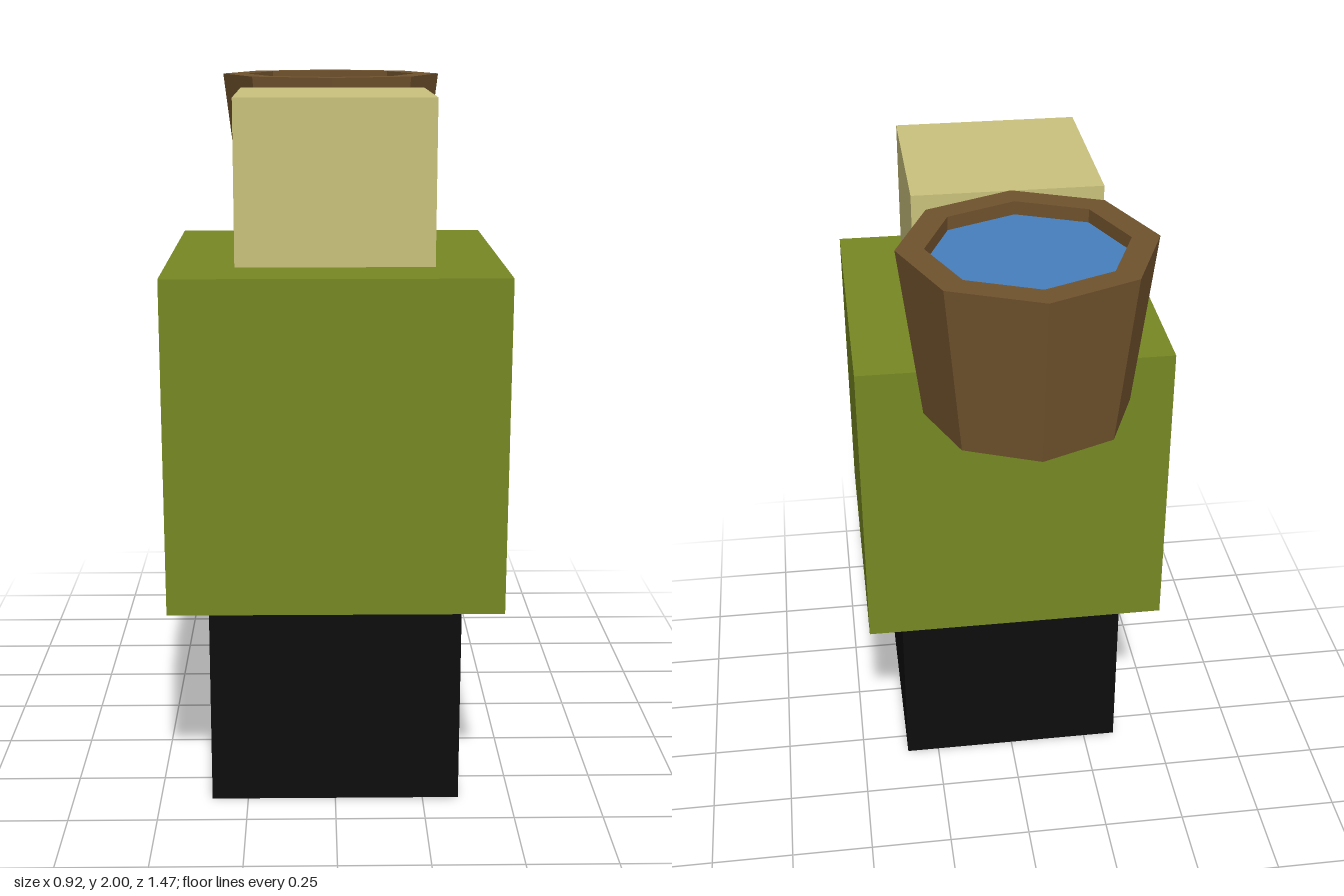
import * as THREE from 'three';

export function createModel() {
  const group = new THREE.Group();
  const material = (name, color) => {
    const m = new THREE.MeshStandardMaterial({ color, flatShading: true });
    m.name = name;
    return m;
  };
  const black = material('black', 0x0d0d0d);
  const olive = material('olive green', 0x768723);
  const tan = material('tan', 0xcac17c);
  const brown = material('brown wood', 0x70522d);
  const blue = material('water blue', 0x467fbd);

  const add = (name, geometry, mat, x, y, z) => {
    const mesh = new THREE.Mesh(geometry, mat);
    mesh.name = name;
    mesh.position.set(x, y, z);
    group.add(mesh);
    return mesh;
  };
  // Square block standing on height y0
  const block = (name, width, y0, y1, z, mat) =>
    add(name, new THREE.BoxGeometry(width, y1 - y0, width), mat, 0, (y0 + y1) / 2, z);

  // Stacked figure
  const bodyZ = 0.276;
  block('legs', 0.705, 0, 0.604, bodyZ, black);
  block('torso', 0.92, 0.604, 1.526, bodyZ, olive);
  block('head', 0.542, 1.526, 1.975, bodyZ, tan);

  // Eight-sided bucket: base, flared wall, rim and inner lip
  const bucketZ = -0.394;
  const profile = [[0, 1.517], [0.284, 1.517], [0.343, 2], [0.268, 2], [0.268, 1.962]]
    .map(([r, y]) => new THREE.Vector2(r, y));
  add('bucket', new THREE.LatheGeometry(profile, 8), brown, 0, 0, bucketZ);

  // Water surface just below the rim
  const water = new THREE.CircleGeometry(0.268, 8).rotateX(-Math.PI / 2);
  add('water', water, blue, 0, 1.962, bucketZ);

  return group;
}
